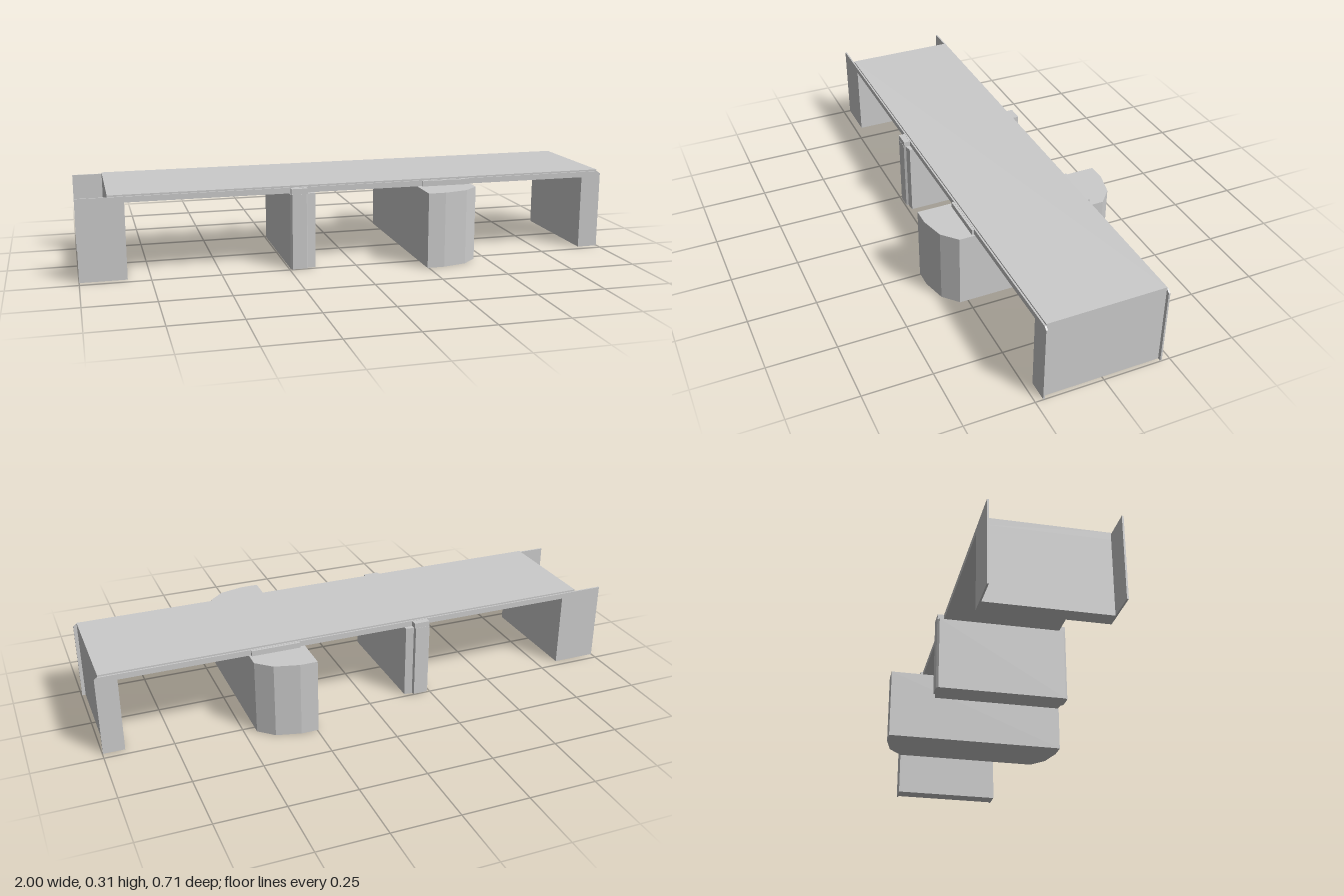
import * as THREE from 'three';

const material = new THREE.MeshStandardMaterial({ color: 0xcccccc, flatShading: true });

export function createModel() {
  const model = new THREE.Group();
  model.name = 'bridge';

  const add = (name, geometry) => {
    const mesh = new THREE.Mesh(geometry, material);
    mesh.name = name;
    model.add(mesh);
  };

  // Box given by its limits on each axis
  const box = (name, x0, x1, y0, y1, z0, z1) => {
    const g = new THREE.BoxGeometry(x1 - x0, y1 - y0, z1 - z0);
    g.translate((x0 + x1) / 2, (y0 + y1) / 2, (z0 + z1) / 2);
    add(name, g);
  };

  // Upright prism, its half plan of [x, z] points mirrored across z = 0
  const prism = (name, half, y0, y1) => {
    const plan = [...half, ...half.map(([x, z]) => [x, -z]).reverse()];
    const shape = new THREE.Shape(plan.map(([x, z]) => new THREE.Vector2(x, -z)));
    const g = new THREE.ExtrudeGeometry(shape, { depth: y1 - y0, bevelEnabled: false });
    g.rotateX(-Math.PI / 2);
    g.translate(0, y0, 0);
    add(name, g);
  };

  // Road deck between the two end walls
  box('deck', -0.89, 0.985, 0.28, 0.307, -0.215, 0.215);
  box('rightAbutment', -0.89, -0.832, 0, 0.28, -0.215, 0.215);
  box('leftAbutment', 0.92, 0.985, 0, 0.28, -0.215, 0.215);

  // Thin side walls: a long fascia with a wing down at each end
  const wall = new THREE.Shape([
    [-1, 0], [-0.832, 0], [-0.832, 0.28], [0.92, 0.28], [0.92, 0],
    [0.998, 0], [0.998, 0.292], [0.985, 0.301], [-1, 0.301],
  ].map(([x, y]) => new THREE.Vector2(x, y)));
  for (const [name, z] of [['frontSideWall', 0.215], ['backSideWall', -0.221]]) {
    const g = new THREE.ExtrudeGeometry(wall, { depth: 0.006, bevelEnabled: false });
    g.translate(0, 0, z);
    add(name, g);
  }

  // Narrow pier with a stepped end
  prism('narrowPier', [
    [-0.245, 0.238], [-0.238, 0.246], [-0.185, 0.246], [-0.18, 0.238], [-0.15, 0.234],
  ], 0, 0.28);
  box('narrowPierCap', -0.24, -0.18, 0.28, 0.3, -0.245, 0.245);

  // Wide pier, flat on one side and faceted towards the other
  prism('widePier', [
    [0.245, 0.353], [0.31, 0.353], [0.40, 0.33], [0.455, 0.28],
  ], 0, 0.28);
  box('widePierBearing', 0.265, 0.447, 0.28, 0.3, -0.23, 0.23);

  return model;
}
